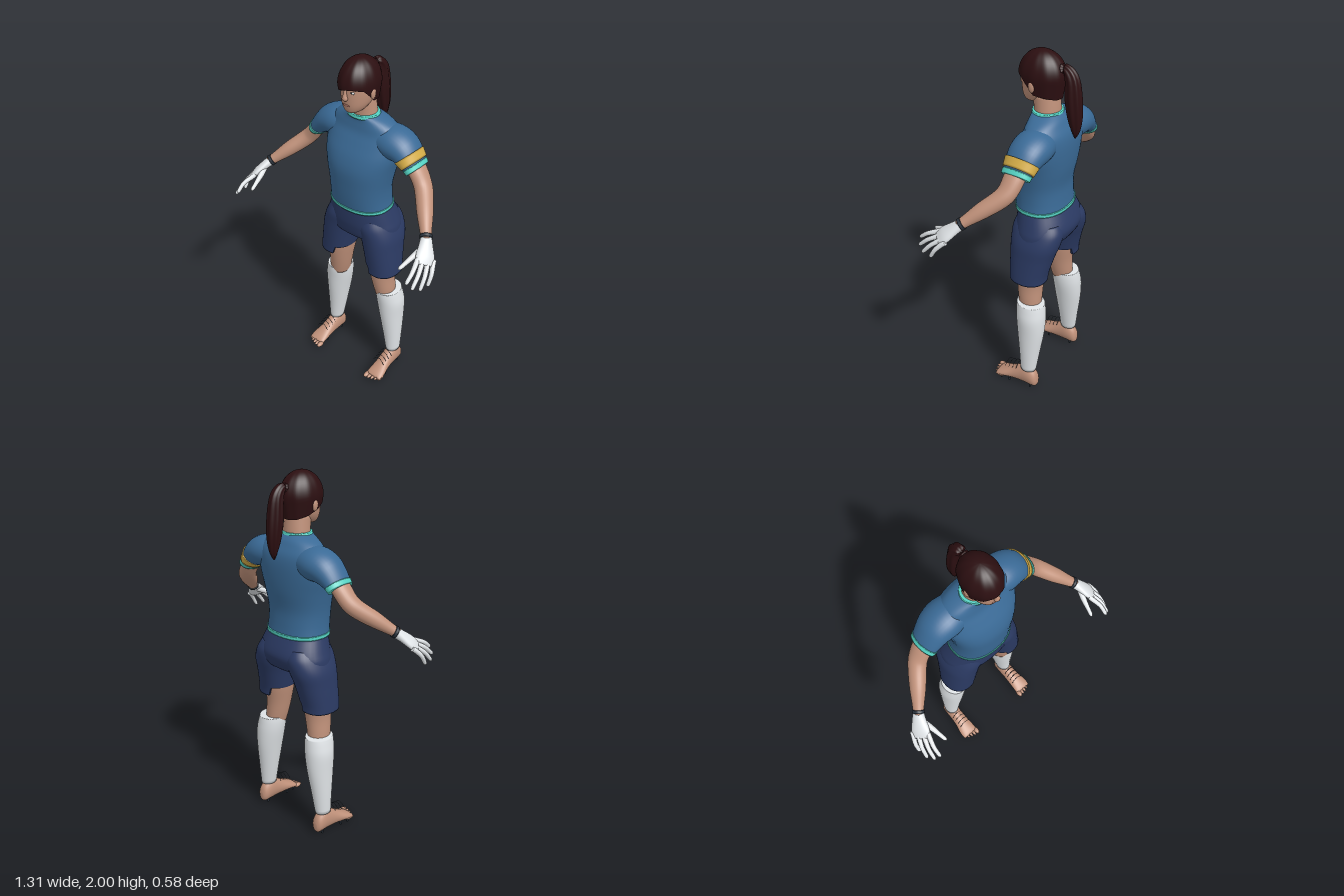
import * as THREE from 'three';

const mat = (name, color) => {
  const m = new THREE.MeshStandardMaterial({ color, side: THREE.DoubleSide });
  m.name = name;
  return m;
};
const V = (x, y, z) => new THREE.Vector3(x, y, z);
const X = V(1, 0, 0), Y = V(0, 1, 0), Z = V(0, 0, 1);

// Smoothly resample rows of numbers
function smooth(rows, n) {
  const out = [], at = i => rows[Math.min(Math.max(i, 0), rows.length - 1)];
  for (let i = 0; i < rows.length - 1; i++)
    for (let k = 0; k < n; k++) {
      const t = k / n;
      out.push(rows[0].map((_, q) => {
        const [a, b, c, d] = [-1, 0, 1, 2].map(o => at(i + o)[q]);
        return 0.5 * (2 * b + (c - a) * t + (2 * a - 5 * b + 4 * c - d) * t * t + (3 * b - a - 3 * c + d) * t ** 3);
      }));
    }
  out.push(rows[rows.length - 1]);
  return out;
}

// Skin closed rings of points, with fan caps
function loft(rings) {
  const n = rings[0].length, m = rings.length, pos = [], idx = [];
  rings.forEach(r => r.forEach(p => pos.push(p.x, p.y, p.z)));
  for (let i = 0; i < m - 1; i++)
    for (let j = 0; j < n; j++) {
      const a = i * n + j, b = i * n + (j + 1) % n;
      idx.push(a, b, b + n, a, b + n, a + n);
    }
  [0, m - 1].forEach((i, end) => {
    const c = rings[i].reduce((s, p) => s.add(p), V(0, 0, 0)).divideScalar(n), k = pos.length / 3;
    pos.push(c.x, c.y, c.z);
    for (let j = 0; j < n; j++) {
      const a = i * n + j, b = i * n + (j + 1) % n;
      end ? idx.push(a, b, k) : idx.push(b, a, k);
    }
  });
  const g = new THREE.BufferGeometry();
  g.setAttribute('position', new THREE.Float32BufferAttribute(pos, 3));
  g.setIndex(idx);
  g.computeVertexNormals();
  return g;
}

// Rows [x, y, z, a, b]: oval rings along a path; b lies along ref, a across it
function limb(rows, { ref = Z, dir = null, seg = 28, steps = 4, power = 1, wave = 0 } = {}) {
  const r = smooth(rows, steps);
  return loft(r.map((q, i) => {
    const p = r[Math.max(i - 1, 0)], s = r[Math.min(i + 1, r.length - 1)];
    const t = dir || V(s[0] - p[0], s[1] - p[1], s[2] - p[2]).normalize();
    const v = ref.clone().addScaledVector(t, -ref.dot(t)).normalize(), u = v.clone().cross(t);
    return Array.from({ length: seg }, (_, j) => {
      const h = j / seg * Math.PI * 2, w = 1 + wave * Math.cos(7 * h);
      const f = e => Math.sign(e) * Math.abs(e) ** power * w;
      return V(q[0], q[1], q[2]).addScaledVector(u, q[3] * f(Math.cos(h))).addScaledVector(v, q[4] * f(Math.sin(h)));
    });
  }));
}

// Rows [y, centre x, half width, front z, back z], from the bottom up
const stack = (rows, opt = {}) => limb(
  rows.map(([y, x, w, f, b]) => [x, y, (f + b) / 2, (f - b) / 2, w]), { ref: X, dir: Y, seg: 40, ...opt });

const ball = (x, y, z, a, b, c) => new THREE.SphereGeometry(1, 20, 14).scale(a, b, c).translate(x, y, z);

function mirror(geo) {
  const g = geo.clone().scale(-1, 1, 1), ix = g.index.array;
  for (let i = 0; i < ix.length; i += 3) [ix[i], ix[i + 1]] = [ix[i + 1], ix[i]];
  g.computeVertexNormals();
  return g;
}

// Hair shell: rings slide from the crown down to a hairline that varies by angle
function hairShell() {
  const line = [1.79, 1.86, 1.872, 1.86, 1.835, 1.81, 1.785, 1.768, 1.765, 1.768, 1.78];
  const rings = [], seg = 66;
  for (let i = 0; i <= 18; i++) {
    const t = 1 - i / 18;
    rings.push(Array.from({ length: seg }, (_, j) => {
      const h = -j / seg * Math.PI * 2, f = j / seg * line.length, k = Math.floor(f);
      const low = THREE.MathUtils.lerp(line[k], line[(k + 1) % line.length], f - k);
      const y = THREE.MathUtils.lerp(2, low, Math.max(1 - t, 0.001) ** 1.7);
      const s = y > 1.87 ? Math.sqrt(Math.max(0, 1 - ((y - 1.87) / 0.13) ** 2)) : 1 - (1.87 - y) * 1.3;
      const lock = 1 + 0.012 * Math.cos(11 * h);
      return V(0.098 * s * lock * Math.cos(h), y, -0.068 - 0.125 * s * lock * Math.sin(h));
    }));
  }
  // open bottom: drop the fan closing the hairline
  const g = loft(rings.reverse());
  g.setIndex(Array.from(g.index.array).slice(0, 18 * seg * 6));
  g.computeVertexNormals();
  return g;
}

export function createModel() {
  const skin = mat('skin', 0xc0917a), hair = mat('hair', 0x2c0f11), shirt = mat('shirtBlue', 0x3a6a96);
  const trim = mat('trimTurquoise', 0x55d3c4), navy = mat('shortsNavy', 0x2b3a63), gold = mat('armbandGold', 0xd6ae48);
  const white = mat('white', 0xdfe3e6), dark = mat('dark', 0x2a323c), lip = mat('lips', 0xa06a5c);
  const group = new THREE.Group();
  const add = (name, geo, m) => {
    const mesh = new THREE.Mesh(geo, m);
    mesh.name = name;
    group.add(mesh);
  };
  const pair = (name, geo, m) => {
    add('left' + name, geo, m);
    add('right' + name, mirror(geo), m);
  };

  // Head and face
  add('head', stack([[1.726, 0, 0.02, 0.015, -0.03], [1.737, 0, 0.045, 0.028, -0.08], [1.765, 0, 0.066, 0.037, -0.12],
    [1.8, 0, 0.078, 0.041, -0.15], [1.85, 0, 0.084, 0.043, -0.165], [1.9, 0, 0.082, 0.042, -0.17],
    [1.95, 0, 0.065, 0.018, -0.15], [1.98, 0, 0.03, -0.03, -0.1]]), skin);
  add('neck', stack([[1.64, 0, 0.08, -0.035, -0.17], [1.7, 0, 0.072, -0.032, -0.168], [1.78, 0, 0.066, -0.02, -0.16]]), skin);
  add('nose', limb([[0, 1.865, 0.038, 0.008, 0.006], [0, 1.835, 0.045, 0.01, 0.01],
    [0, 1.815, 0.046, 0.016, 0.014], [0, 1.805, 0.041, 0.01, 0.006]], { seg: 16 }), skin);
  add('mouth', ball(0, 1.776, 0.037, 0.022, 0.006, 0.005), lip);
  pair('Ear', ball(0.09, 1.832, -0.06, 0.011, 0.03, 0.018), skin);
  pair('Eye', ball(0.035, 1.851, 0.032, 0.015, 0.006, 0.006), white);
  pair('Iris', ball(0.034, 1.851, 0.0365, 0.006, 0.006, 0.003), dark);
  pair('Eyebrow', new THREE.BoxGeometry(0.036, 0.008, 0.008).rotateY(0.35).translate(0.037, 1.869, 0.033), hair);

  // Hair
  add('hair', hairShell(), hair);
  add('ponytail', limb([[0, 1.92, -0.17, 0.022, 0.022], [0, 1.925, -0.205, 0.026, 0.024], [0, 1.88, -0.235, 0.034, 0.036],
    [0, 1.78, -0.246, 0.04, 0.043], [0, 1.69, -0.256, 0.036, 0.037], [0, 1.62, -0.262, 0.022, 0.022],
    [0, 1.575, -0.26, 0.004, 0.004]], { seg: 42, wave: 0.07 }), hair);

  // Shirt
  add('shirt', stack([[1.16, 0, 0.178, 0.045, -0.23], [1.22, 0, 0.174, 0.052, -0.224], [1.3, 0, 0.178, 0.058, -0.222],
    [1.4, 0, 0.196, 0.061, -0.238], [1.48, 0, 0.214, 0.042, -0.245], [1.55, 0, 0.22, 0.008, -0.245],
    [1.6, 0, 0.215, -0.018, -0.236], [1.64, 0, 0.185, -0.028, -0.215], [1.668, 0, 0.14, -0.032, -0.198],
    [1.69, 0, 0.085, -0.03, -0.175]], { power: 0.88 }), shirt);
  add('hemTrim', stack([[1.152, 0, 0.181, 0.049, -0.234], [1.172, 0, 0.18, 0.05, -0.234]], { power: 0.88 }), trim);
  add('collarTrim', stack([[1.678, 0, 0.094, -0.022, -0.182], [1.698, 0, 0.086, -0.025, -0.176]]), trim);
  pair('Sleeve', limb([[0.08, 1.565, -0.125, 0.08, 0.09], [0.17, 1.565, -0.13, 0.088, 0.105], [0.235, 1.55, -0.13, 0.08, 0.1],
    [0.285, 1.515, -0.127, 0.062, 0.088], [0.327, 1.472, -0.125, 0.045, 0.077]], { seg: 36 }), shirt);
  pair('SleeveTrim', limb([[0.312, 1.488, -0.125, 0.053, 0.083], [0.331, 1.468, -0.125, 0.047, 0.08]], { seg: 36 }), trim);
  add('armband', limb([[0.274, 1.526, -0.127, 0.071, 0.095], [0.308, 1.492, -0.126, 0.057, 0.087]], { seg: 36 }), gold);

  // Arms and gloves
  pair('Arm', limb([[0.26, 1.535, -0.125, 0.042, 0.058], [0.325, 1.475, -0.122, 0.042, 0.058], [0.375, 1.41, -0.112, 0.043, 0.053],
    [0.41, 1.37, -0.085, 0.044, 0.049], [0.467, 1.315, -0.02, 0.04, 0.043], [0.515, 1.268, 0.035, 0.03, 0.032],
    [0.545, 1.24, 0.068, 0.025, 0.027]]), skin);
  pair('WristBand', limb([[0.531, 1.252, 0.052, 0.031, 0.033], [0.541, 1.243, 0.064, 0.031, 0.033]]), dark);
  pair('Palm', limb([[0.54, 1.243, 0.062, 0.027, 0.029], [0.56, 1.22, 0.09, 0.024, 0.038],
    [0.585, 1.187, 0.127, 0.021, 0.05], [0.602, 1.16, 0.155, 0.013, 0.046]], { ref: V(0.6, -0.27, -0.76) }), white);
  const tips = [[0.592, 1.118, 0.285], [0.62, 1.09, 0.272], [0.642, 1.072, 0.235], [0.648, 1.068, 0.18]];
  tips.forEach(([x, y, z], i) => {
    const kx = 0.573 + 0.018 * i, ky = 1.178 - 0.008 * i, kz = 0.182 - 0.022 * i;
    pair('Finger' + (i + 1), limb([[kx - 0.008, ky + 0.012, kz - 0.02, 0.012, 0.012], [kx, ky, kz, 0.0135, 0.0135],
      [(kx + x) / 2 + 0.006, (ky + y) / 2 + 0.008, (kz + z) / 2, 0.012, 0.012],
      [x * 0.9 + kx * 0.1, y * 0.9 + ky * 0.1, z * 0.9 + kz * 0.1, 0.01, 0.01], [x, y, z, 0.004, 0.004]],
    { ref: X, seg: 12 }), white);
  });
  pair('Thumb', limb([[0.555, 1.215, 0.095, 0.018, 0.018], [0.538, 1.19, 0.145, 0.016, 0.016], [0.525, 1.165, 0.2, 0.012, 0.012],
    [0.517, 1.15, 0.235, 0.01, 0.01], [0.515, 1.146, 0.246, 0.003, 0.003]], { ref: X, seg: 12 }), white);

  // Shorts: hips, then legs with a raised notch on the inner hem
  add('shortsHips', stack([[0.945, 0, 0.1, -0.03, -0.18], [0.97, 0, 0.215, 0.015, -0.235], [1.03, 0, 0.222, 0.03, -0.268],
    [1.08, 0, 0.207, 0.034, -0.266], [1.16, 0, 0.177, 0.032, -0.228]], { power: 0.9 }), navy);
  const leg = stack([[0.75, 0.167, 0.095, 0.01, -0.2], [0.8, 0.162, 0.096, 0.012, -0.205], [0.9, 0.147, 0.1, 0.018, -0.23],
    [0.98, 0.132, 0.105, 0.022, -0.255], [1.05, 0.11, 0.1, 0.025, -0.262], [1.1, 0.1, 0.08, 0.01, -0.24]], { power: 0.9, steps: 6 });
  const p = leg.attributes.position;
  for (let i = 0; i < p.count; i++) if (p.getX(i) < 0.122 && p.getY(i) < 0.8) p.setY(i, 0.8);
  leg.computeVertexNormals();
  pair('ShortsLeg', leg, navy);

  // Legs and socks
  pair('Knee', stack([[0.56, 0.172, 0.055, -0.045, -0.17], [0.62, 0.164, 0.062, -0.034, -0.17], [0.7, 0.154, 0.068, -0.022, -0.172],
    [0.8, 0.147, 0.08, -0.012, -0.185], [0.88, 0.147, 0.085, -0.01, -0.19]]), skin);
  pair('Sock', stack([[0.13, 0.225, 0.04, -0.08, -0.175], [0.25, 0.216, 0.053, -0.07, -0.19], [0.4, 0.204, 0.067, -0.052, -0.21],
    [0.5, 0.196, 0.077, -0.043, -0.213], [0.56, 0.188, 0.075, -0.038, -0.207], [0.596, 0.184, 0.07, -0.038, -0.2]]), white);

  // Feet, toes, studs and laces
  pair('Foot', limb([[0.225, 0.05, -0.19, 0.014, 0.02], [0.225, 0.062, -0.175, 0.032, 0.05], [0.225, 0.08, -0.13, 0.04, 0.068],
    [0.226, 0.07, -0.08, 0.04, 0.058], [0.228, 0.054, -0.03, 0.043, 0.042], [0.232, 0.04, 0.02, 0.05, 0.028],
    [0.232, 0.031, 0.055, 0.051, 0.019], [0.232, 0.027, 0.07, 0.046, 0.012]], { ref: Y, dir: Z }), skin);
  for (let i = 0; i < 5; i++) {
    const w = i ? 0.0105 - i * 0.0005 : 0.015;
    pair('Toe' + (i + 1), ball(i ? 0.193 + i * 0.0205 : 0.191, 0.024, 0.075 - i * i * 0.0018, w, w * 0.95, 0.027), skin);
  }
  [[0.2, 0.045], [0.265, 0.035], [0.2, -0.005], [0.26, -0.015], [0.21, -0.15], [0.242, -0.15]].forEach(([x, z], i) =>
    pair('Stud' + (i + 1), new THREE.CylinderGeometry(0.008, 0.006, 0.02, 8).translate(x, 0.01, z), dark));
  for (let i = 0; i < 4; i++) {
    const z = 0.01 - i * 0.025, y = 0.1 + i * 0.006;
    const arc = new THREE.QuadraticBezierCurve3(V(0.188, y, z), V(0.225, y + 0.06, z - 0.004), V(0.264, y, z));
    pair('Lace' + (i + 1), new THREE.TubeGeometry(arc, 12, 0.0014, 5), dark);
  }
  return group;
}
